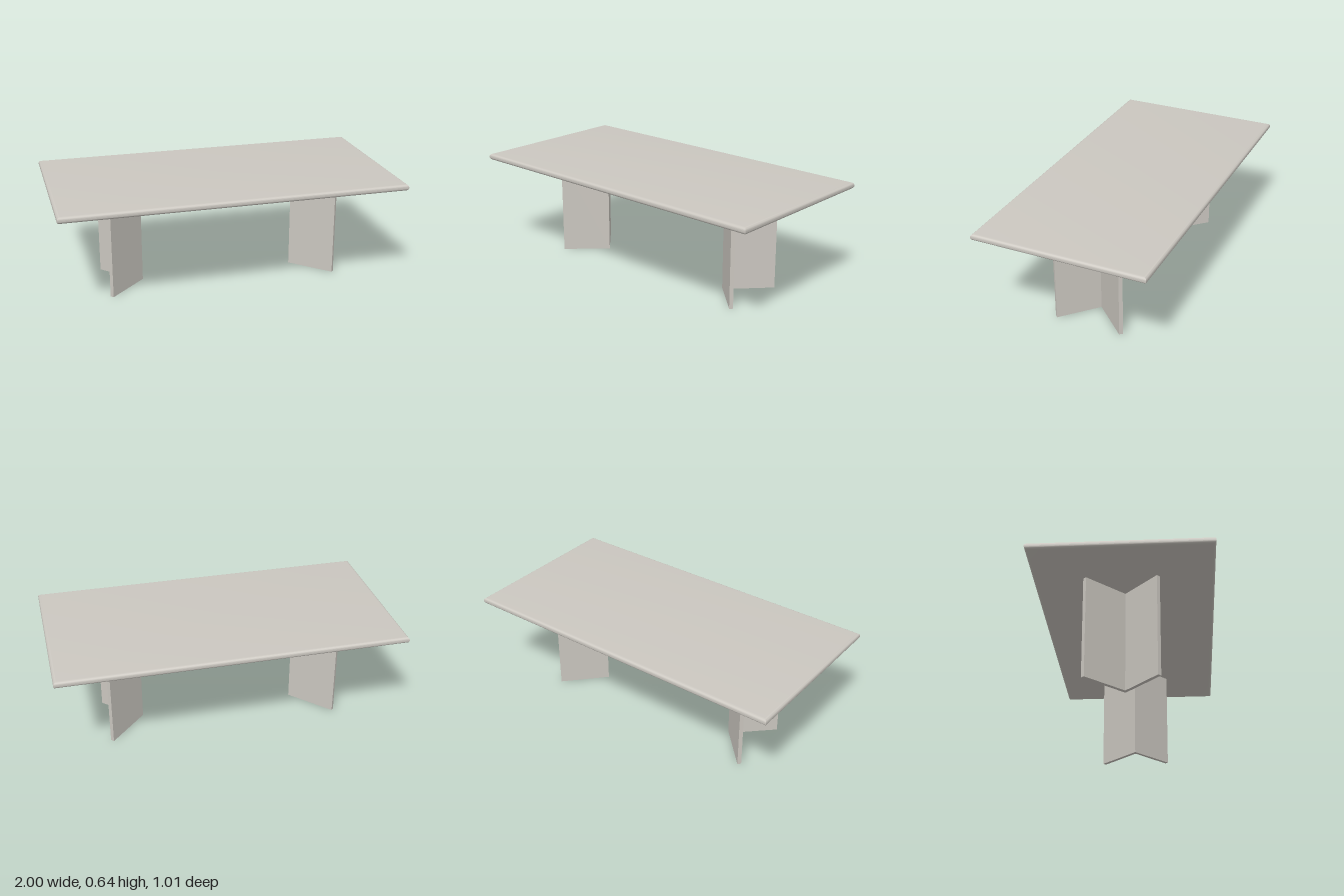
import * as THREE from 'three';
import { toCreasedNormals } from 'three/addons/utils/BufferGeometryUtils.js';

const LEG_HEIGHT = 0.603;
const TOP_THICKNESS = 0.038;
const HALF_WIDTH = 1;
const HALF_DEPTH = 0.505;

// Upright prism from a floor plan given as [x, z] points
function extrudePlan(points, options) {
  const shape = new THREE.Shape(points.map(([x, z]) => new THREE.Vector2(x, -z)));
  return new THREE.ExtrudeGeometry(shape, options).rotateX(-Math.PI / 2);
}

export function createModel() {
  const group = new THREE.Group();
  const stone = new THREE.MeshStandardMaterial({ color: 0xcbc7c0 });
  stone.name = 'warmGrey';

  // Tabletop: square corners in plan, rounded edge all round
  const r = 0.018;
  const w = HALF_WIDTH - r;
  const d = HALF_DEPTH - r;
  const topGeometry = extrudePlan([[-w, -d], [w, -d], [w, d], [-w, d]], {
    depth: TOP_THICKNESS - 2 * r,
    bevelEnabled: true,
    bevelSize: r,
    bevelThickness: r,
    bevelSegments: 8,
  });
  const top = new THREE.Mesh(toCreasedNormals(topGeometry, 0.5), stone);
  top.name = 'tabletop';
  top.position.y = LEG_HEIGHT + r;
  group.add(top);

  // V-shaped legs: point towards the middle, arms open towards the ends
  const legPlan = [
    [0.465, -0.002], [0.676, 0.2], [0.691, 0.184],
    [0.495, -0.002], [0.691, -0.207], [0.676, -0.224],
  ];
  for (const side of [1, -1]) {
    const plan = legPlan.map(([x, z]) => [x * side, z]);
    const leg = new THREE.Mesh(extrudePlan(plan, { depth: LEG_HEIGHT, bevelEnabled: false }), stone);
    leg.name = side > 0 ? 'leftLeg' : 'rightLeg';
    group.add(leg);
  }

  return group;
}
